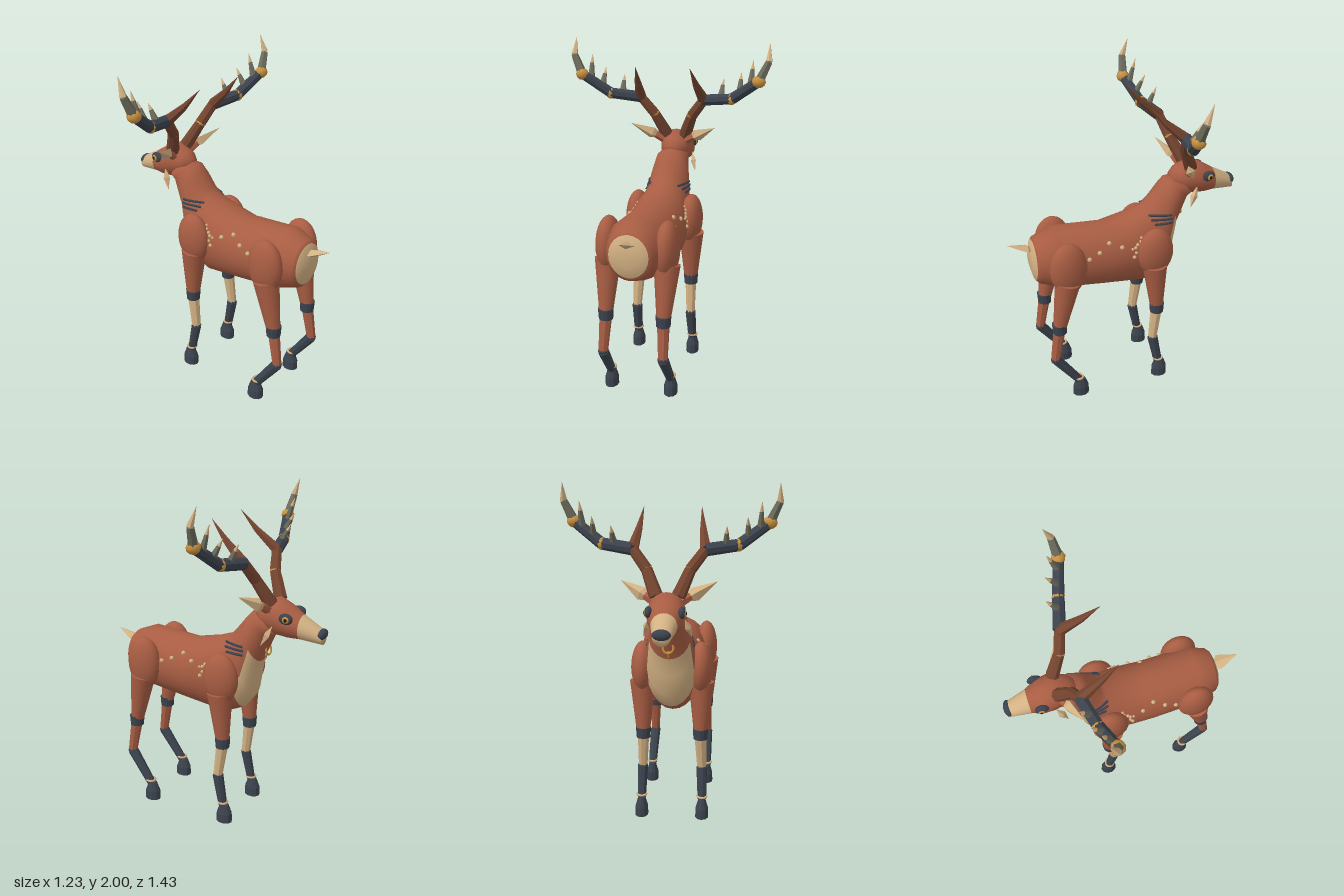
import * as THREE from 'three';

const material = (name, color) => Object.assign(new THREE.MeshStandardMaterial({ color }), { name });
const russet = material('russet coat', 0xa85d43);
const cream = material('cream fur', 0xd3b183);
const slate = material('slate', 0x3c434e);
const bark = material('antler brown', 0x754530);
const amber = material('amber', 0xc8913f);
const tine = material('tine grey', 0x6e6c5c);
const black = material('pupil black', 0x15161a);

const V = (x, y, z) => new THREE.Vector3(x, y, z);
const SEG = 24;

function add(parent, name, geometry, mat) {
  const mesh = new THREE.Mesh(geometry, mat);
  mesh.name = name;
  parent.add(mesh);
  return mesh;
}

// Faceted tapered rod between two points
function rod(parent, name, a, b, r1, r2, mat, sides = 8, flat = true) {
  let g = new THREE.CylinderGeometry(r2, r1, a.distanceTo(b), sides);
  if (flat) {
    g = g.toNonIndexed();
    g.computeVertexNormals();
  }
  const mesh = add(parent, name, g, mat);
  mesh.position.copy(a).lerp(b, 0.5);
  mesh.quaternion.setFromUnitVectors(V(0, 1, 0), b.clone().sub(a).normalize());
  return mesh;
}

function ball(parent, name, p, rx, ry, rz, mat, w = 16, h = 12) {
  const mesh = add(parent, name, new THREE.SphereGeometry(1, w, h), mat);
  mesh.position.copy(p);
  mesh.scale.set(rx, ry, rz);
  return mesh;
}

// Flat diamond-section leaf from a to b, widest part way along
function leaf(parent, name, a, b, width, depth, mat, widest = 0.35) {
  const len = a.distanceTo(b);
  const holder = new THREE.Group();
  holder.name = name;
  holder.position.copy(a);
  holder.quaternion.setFromUnitVectors(V(0, 1, 0), b.clone().sub(a).normalize());
  const g = new THREE.LatheGeometry([[0.012, 0], [1, len * widest], [0, len]]
    .map(([r, y]) => new THREE.Vector2(r, y)), 4).toNonIndexed();
  g.scale(width, 1, depth);
  g.computeVertexNormals();
  add(holder, name + 'Blade', g, mat);
  parent.add(holder);
}

// Rings are [zTop, yTop, zBottom, yBottom, halfWidth]
function ringPoint(r, c, s) {
  return V(s * r[4], (r[1] + r[3]) / 2 + c * (r[1] - r[3]) / 2, (r[0] + r[2]) / 2 + c * (r[0] - r[2]) / 2);
}

// Closed skin over the rings; pick(i, j) chooses the material slot of a face
function loft(rings, pick) {
  const pos = [], faces = [[], [], []], n = rings.length;
  for (const r of rings) for (let j = 0; j < SEG; j++) {
    const t = j / SEG * Math.PI * 2;
    pos.push(...ringPoint(r, Math.cos(t), Math.sin(t)).toArray());
  }
  pos.push(...ringPoint(rings[0], 0, 0).toArray(), ...ringPoint(rings[n - 1], 0, 0).toArray());
  for (let j = 0; j < SEG; j++) {
    const k = (j + 1) % SEG;
    for (let i = 0; i < n - 1; i++) {
      const a = i * SEG + j, b = i * SEG + k;
      faces[pick(i, j)].push(a, b, a + SEG, b, b + SEG, a + SEG);
    }
    faces[pick(0, j)].push(n * SEG, k, j);
    faces[pick(n - 2, j)].push(n * SEG + 1, (n - 1) * SEG + j, (n - 1) * SEG + k);
  }
  const g = new THREE.BufferGeometry();
  g.setAttribute('position', new THREE.Float32BufferAttribute(pos, 3));
  g.setIndex(faces.flat());
  let start = 0;
  faces.forEach((f, m) => { g.addGroup(start, f.length, m); start += f.length; });
  g.computeVertexNormals();
  return g;
}

const bodyRings = [
  [.585, 1.0, .585, .87, .07], [.565, 1.06, .57, .81, .115], [.55, 1.075, .55, .785, .135],
  [.44, 1.12, .42, .735, .175], [.13, 1.095, .14, .70, .18], [-.02, 1.13, 0, .68, .18],
  [-.13, 1.17, -.10, .66, .165], [-.155, 1.2, -.22, .715, .15], [-.18, 1.23, -.285, .8, .14],
  [-.205, 1.26, -.305, .92, .13], [-.225, 1.285, -.325, 1.03, .12], [-.26, 1.325, -.40, 1.2, .10],
  [-.33, 1.33, -.43, 1.22, .09],
];
const headRings = [
  [-.29, 1.35, -.32, 1.27, .05], [-.33, 1.39, -.36, 1.235, .08], [-.42, 1.43, -.43, 1.21, .105],
  [-.5, 1.39, -.5, 1.205, .1], [-.57, 1.345, -.565, 1.205, .072], [-.69, 1.28, -.7, 1.195, .046],
];

// Point on the body skin at fractional ring u and height y
function onBody(u, y, s) {
  const i = Math.floor(u), f = u - i;
  const r = bodyRings[i].map((v, k) => v + (bodyRings[i + 1][k] - v) * f);
  const c = THREE.MathUtils.clamp((y - (r[1] + r[3]) / 2) / ((r[1] - r[3]) / 2), -1, 1);
  return ringPoint(r, c, s * Math.sqrt(1 - c * c));
}

function buildLeg(parent, s, front) {
  const leg = new THREE.Group();
  leg.name = front ? 'frontLeg' : 'hindLeg';
  parent.add(leg);
  const [zHip, zThigh, zKnee, zHock, zAnkle, zHoof] = front
    ? [-.14, -.138, -.157, -.13, -.168, -.178] : [.4, .41, .472, .51, .37, .357];
  const knee = V(s * .172, .53, zKnee), hock = V(s * .18, .305, zHock), ankle = V(s * .185, .11, zAnkle);
  ball(leg, 'haunch', V(s * .172, .935, zHip), .07, front ? .155 : .165, .112, russet, 20, 14);
  rod(leg, 'upperLeg', V(s * .175, .85, zThigh), knee, .077, .04, russet, 12, false);
  rod(leg, 'kneeBand', knee.clone().setY(.498), knee.clone().setY(.562), .042, .046, slate, 12);
  rod(leg, 'lowerLeg', knee, hock, .037, .028, front ? cream : russet, 8);
  ball(leg, 'hock', hock, .031, .02, .031, slate, 8, 6);
  rod(leg, 'shank', hock, ankle, .033, .027, slate, 8);
  const cuff = add(leg, 'ankleCuff', new THREE.TorusGeometry(.028, .007, 6, 12), cream);
  cuff.position.set(s * .185, .128, zAnkle);
  cuff.rotation.x = Math.PI / 2;
  const low = rod(leg, 'hoof', V(s * .185, 0, zHoof), V(s * .185, .055, zHoof), .052, .05, slate, 10);
  low.scale.x = .78;
  const high = rod(leg, 'hoofTop', V(s * .185, .055, zHoof), V(s * .185, .115, zHoof), .05, .028, slate, 10);
  high.scale.x = .78;
}

function buildAntler(parent, s) {
  const antler = new THREE.Group();
  antler.name = 'antler';
  parent.add(antler);
  const P = (x, y, z) => V(s * x, y, z);
  const root = P(.06, 1.4, -.4), joint = P(.12, 1.54, -.332), fork = P(.2, 1.645, -.3);
  const mid = P(.38, 1.668, -.255), end = P(.545, 1.785, -.2), bend = P(.598, 1.9, -.215);
  rod(antler, 'antlerBase', root, joint, .04, .032, bark);
  rod(antler, 'antlerStem', joint, fork, .033, .03, bark);
  rod(antler, 'innerBeam', fork, mid, .036, .034, slate);
  rod(antler, 'outerBeam', mid, end, .034, .03, slate);
  rod(antler, 'crownBase', end, bend, .03, .021, tine, 6);
  rod(antler, 'crownTip', bend, P(.595, 2, -.25), .021, .001, cream, 6);
  ball(antler, 'stemJoint', joint, .033, .028, .033, amber, 8, 6);
  ball(antler, 'beamJoint', mid, .028, .037, .038, amber, 8, 6);
  ball(antler, 'endJoint', end, .042, .036, .04, amber, 8, 6);
  rod(antler, 'browTine', fork, P(.18, 1.75, -.18), .034, .02, bark, 6);
  rod(antler, 'browTineTip', P(.18, 1.75, -.18), P(.165, 1.86, -.08), .02, .001, bark, 6);
  // Short tines along the beam
  for (const [x, y, z, tx, ty, tz] of [
    [.31, 1.67, -.275, .315, 1.775, -.33], [.43, 1.71, -.24, .425, 1.82, -.3], [.495, 1.755, -.22, .5, 1.9, -.265],
  ]) {
    const a = P(x, y, z), b = P(tx, ty, tz), m = a.clone().lerp(b, .65);
    rod(antler, 'tine', a, m, .023, .012, tine, 6);
    rod(antler, 'tineTip', m, b, .012, .001, cream, 6);
  }
}

export function createModel() {
  const model = new THREE.Group();
  model.name = 'stag';

  // Body with cream rump and chest bib
  const isCream = (i, j) => i === 0 || (i >= 7 && i <= 9 && Math.abs(j + .5 - SEG / 2) < 5);
  add(model, 'body', loft(bodyRings, (i, j) => isCream(i, j) ? 1 : 0), [russet, cream, slate]);
  leaf(model, 'tail', V(0, 1.0, .56), V(0, 1.06, .715), .05, .022, cream, .25);

  // Head, muzzle and nose
  add(model, 'head', loft(headRings, i => i === 4 ? 1 : 0), [russet, cream, slate]);
  ball(model, 'nose', V(0, 1.255, -.69), .05, .03, .026, slate);

  // Throat pendant
  const ring = add(model, 'pendantRing', new THREE.TorusGeometry(.03, .006, 6, 16), amber);
  ring.position.set(0, 1.105, -.362);
  ring.rotation.x = .2;
  rod(model, 'pendantDrop', V(0, 1.08, -.35), V(0, 1.04, -.345), .01, .002, amber, 6);

  for (const s of [1, -1]) {
    buildLeg(model, s, true);
    buildLeg(model, s, false);
    buildAntler(model, s);

    leaf(model, 'ear', V(s * .08, 1.375, -.39), V(s * .27, 1.475, -.305), .04, .03, cream);
    rod(model, 'earBase', V(s * .07, 1.37, -.39), V(s * .125, 1.4, -.37), .03, .024, russet, 6);
    leaf(model, 'cheekTuft', V(s * .1, 1.285, -.43), V(s * .135, 1.17, -.375), .022, .02, cream, .45);

    // Eyes
    ball(model, 'eyeSocket', V(s * .09, 1.335, -.505), .022, .032, .042, slate);
    ball(model, 'iris', V(s * .1, 1.334, -.51), .016, .022, .024, amber);
    ball(model, 'pupil', V(s * .109, 1.334, -.512), .009, .012, .012, black);

    // Neck stripes
    for (const [y, u0, u1] of [[1.138, 6.05, 9.5], [1.115, 6.2, 9.45], [1.09, 6.6, 9.2]]) {
      const pts = Array.from({ length: 8 }, (_, i) => onBody(u0 + (u1 - u0) * i / 7, y, s));
      add(model, 'neckStripe', new THREE.TubeGeometry(new THREE.CatmullRomCurve3(pts), 20, .008, 6), slate);
    }
    // Flank spots
    for (const [u, y, r] of [
      [3.54, .968, .014], [3.76, .993, .014], [3.98, 1.03, .014], [4.45, 1.0, .014],
      [4.88, .98, .009], [5.02, .985, .011], [5.15, 1.0, .011], [5.35, 1.015, .011],
      [5.4, 1.035, .009], [5.05, .955, .01], [4.95, .93, .012],
    ]) ball(model, 'flankSpot', onBody(u, y, s), r, r, r, cream, 8, 6);
  }
  return model;
}
